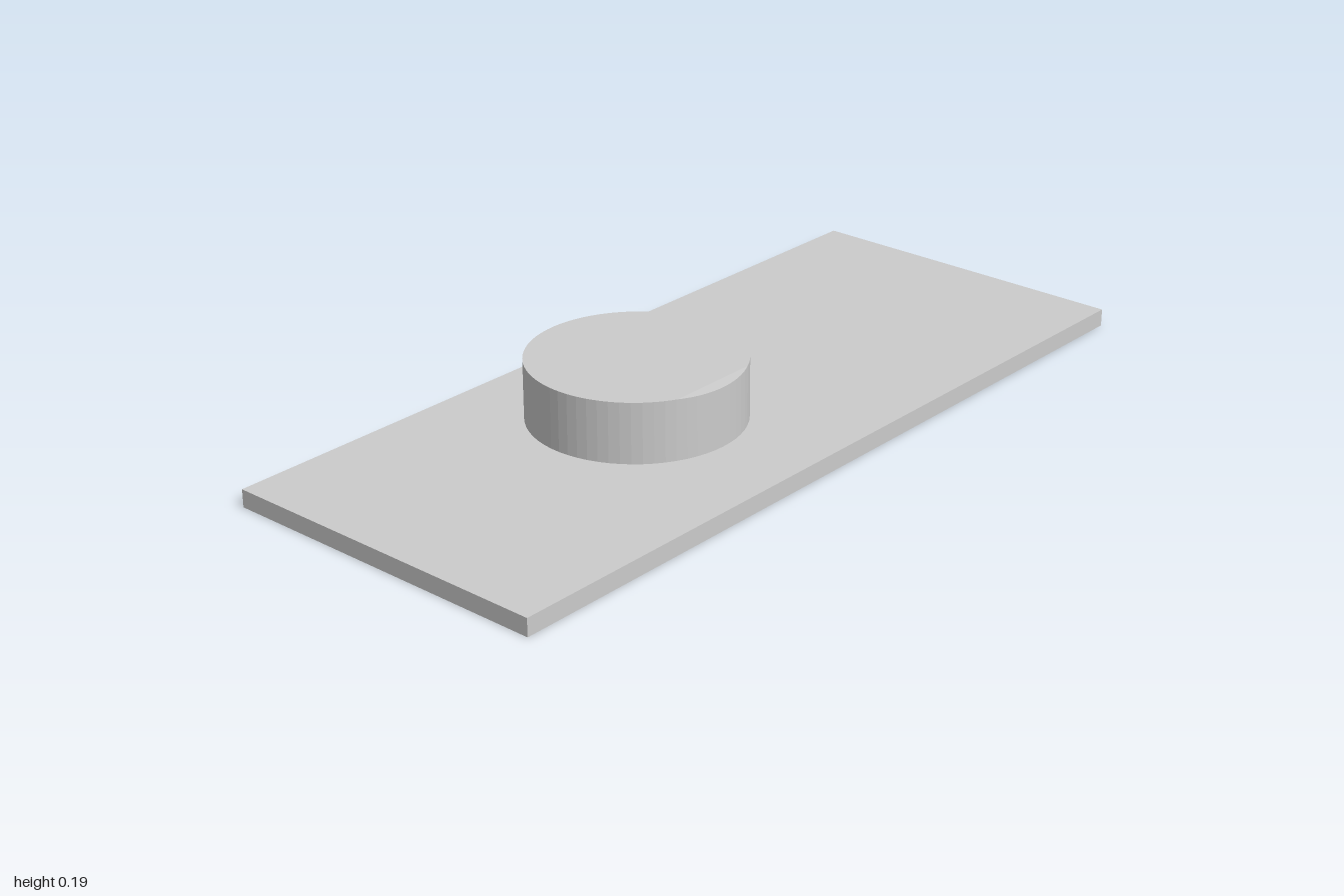
import * as THREE from 'three';

const PLATE = { width: 2, height: 0.042, depth: 0.83 };
const RADIUS = 0.25, TOP = 0.186, SIDES = 64;
const CHORD = 0.222; // distance from the disc axis to the start of the sloped rim
const SLOPE = 0.003 / (RADIUS - CHORD);

// Lower the top vertices that lie in front of the chord
function slopeFront(geometry) {
  const p = geometry.attributes.position;
  for (let i = 0; i < p.count; i++) {
    const over = p.getZ(i) - CHORD;
    if (over > 0 && p.getY(i) > TOP - 0.001) p.setY(i, TOP - over * SLOPE);
  }
  geometry.computeVertexNormals();
  return geometry;
}

// Horizontal circle segment at the top of the disc
function topSegment(start, end, divisions) {
  const shape = new THREE.Shape().absarc(0, 0, RADIUS, start, end, false);
  return new THREE.ShapeGeometry(shape, divisions).rotateX(-Math.PI / 2).translate(0, TOP, 0);
}

export function createModel() {
  const model = new THREE.Group();
  const material = new THREE.MeshStandardMaterial({ color: 0xcccccc, flatShading: true });
  const add = (parent, name, geometry) => {
    const mesh = new THREE.Mesh(geometry, material);
    mesh.name = name;
    parent.add(mesh);
    return mesh;
  };

  // Flat base plate
  add(model, 'basePlate', new THREE.BoxGeometry(PLATE.width, PLATE.height, PLATE.depth)
    .translate(0, PLATE.height / 2, 0));

  // Raised disc with a slightly sloped front rim
  const disc = new THREE.Group();
  disc.name = 'raisedDisc';
  disc.position.set(-0.19, 0, -0.037);
  model.add(disc);

  const height = TOP - PLATE.height;
  const wall = new THREE.CylinderGeometry(RADIUS, RADIUS, height, SIDES, 1, true)
    .translate(0, PLATE.height + height / 2, 0);
  add(disc, 'discWall', slopeFront(wall));

  const a = Math.asin(CHORD / RADIUS);
  add(disc, 'discTop', topSegment(-a, Math.PI + a, SIDES));
  add(disc, 'slopedRim', slopeFront(topSegment(a - Math.PI, -a, 20)));

  return model;
}
